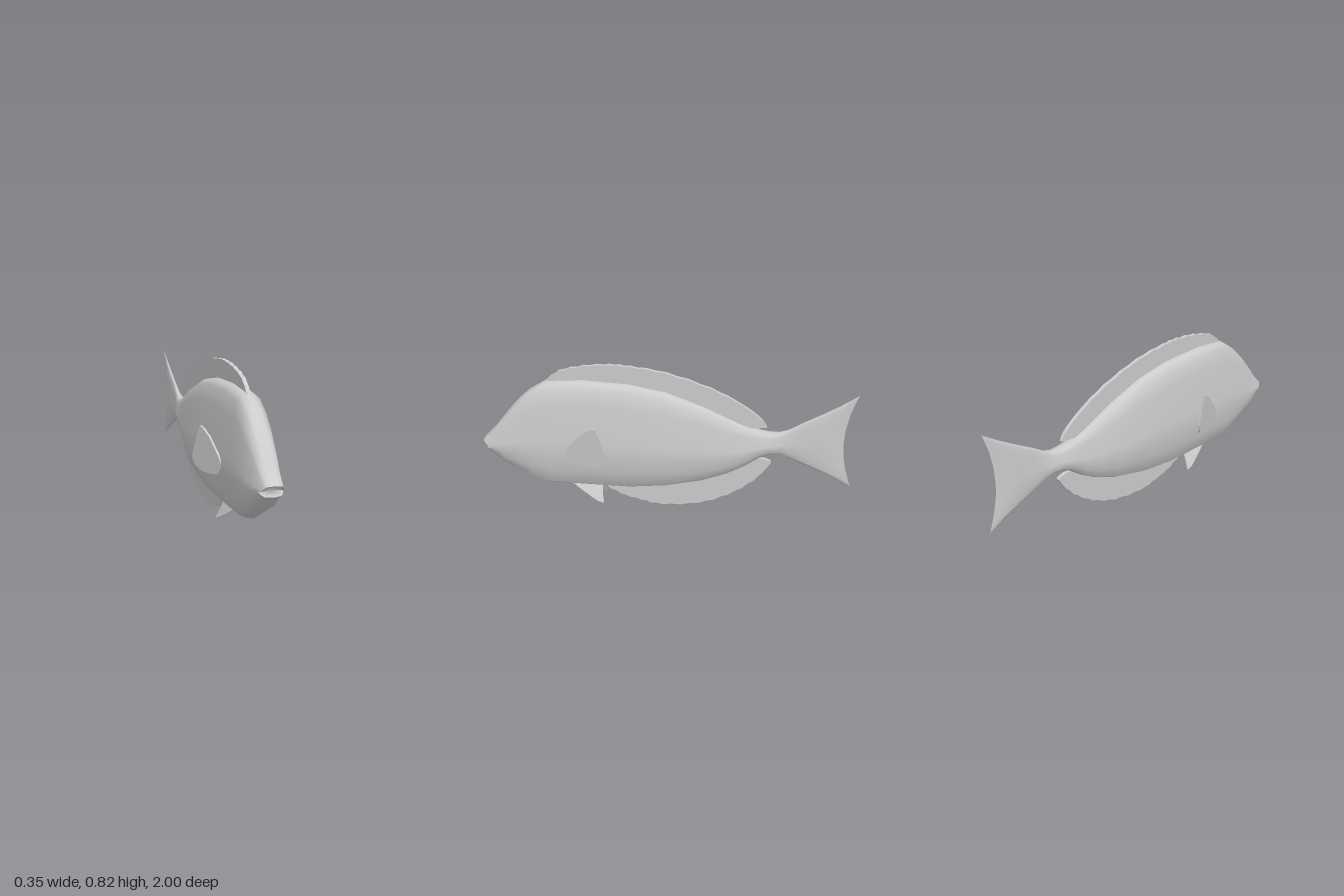
import * as THREE from 'three';

const skin = new THREE.MeshStandardMaterial({ color: 0xcccccc });
skin.name = 'pale grey skin';

// Half cross-section from back ridge to belly: [share of half width, share of height]
const HALF = [[0, 1], [0.32, 0.985], [0.62, 0.945], [0.75, 0.81], [0.86, 0.64], [0.95, 0.48],
  [1, 0.36], [0.85, 0.2], [0.64, 0.06], [0.32, 0.025], [0, 0]];
const RING = [...HALF, ...HALF.slice(1, -1).reverse().map(([x, y]) => [-x, y])];

// Stations from head to tail: [z, top, bottom, half width, swept-back tips]
const STATIONS = [
  [0.93, 0.445, 0.275, 0.067, 0], [0.88, 0.51, 0.23, 0.078, 0], [0.8, 0.605, 0.18, 0.087, 0],
  [0.73, 0.67, 0.14, 0.091, 0], [0.64, 0.725, 0.112, 0.095, 0], [0.45, 0.738, 0.108, 0.1, 0],
  [0.2, 0.725, 0.105, 0.104, 0], [0, 0.687, 0.125, 0.102, 0], [-0.2, 0.612, 0.17, 0.09, 0],
  [-0.33, 0.55, 0.22, 0.074, 0], [-0.42, 0.51, 0.27, 0.062, 0], [-0.5, 0.483, 0.328, 0.053, 0],
  [-0.55, 0.475, 0.347, 0.047, 0], [-0.6, 0.477, 0.348, 0.033, 0], [-0.65, 0.495, 0.335, 0.022, 0],
  [-0.72, 0.54, 0.3, 0.016, 0.005], [-0.8, 0.588, 0.26, 0.018, 0.012],
  [-0.88, 0.645, 0.215, 0.015, 0.03], [-0.94, 0.705, 0.165, 0, 0.06]];

function makeMesh(name, geometry) {
  const mesh = new THREE.Mesh(geometry, skin);
  mesh.name = name;
  return mesh;
}

function indexed(points, index) {
  const g = new THREE.BufferGeometry();
  g.setAttribute('position', new THREE.Float32BufferAttribute(points.flat(), 3));
  g.setIndex(index);
  g.computeVertexNormals();
  return g;
}

// Lip outline: corners of the mouth sit further back than the lips
const LIPS = RING.map(([x, y]) => {
  const up = y > 0.36;
  const t = up ? (y - 0.36) / 0.64 : (0.36 - y) / 0.36;
  return [x * 0.06, up ? 0.337 + 0.035 * t : 0.337 - 0.02 * t, 0.945 + (up ? 0.055 : 0.04) * Math.sqrt(t)];
});

function bodyGeometry() {
  const n = RING.length;
  const points = [...LIPS];
  for (const [z, top, bottom, w, sweep] of STATIONS) {
    for (const [x, y] of RING) {
      points.push([x * w, bottom + (top - bottom) * y, z - sweep * (2 * y - 1) ** 2]);
    }
  }
  const index = [];
  for (let i = 0; i < STATIONS.length; i++) {
    for (let j = 0; j < n; j++) {
      const a = i * n + j, b = i * n + (j + 1) % n;
      index.push(a, b, a + n, b, b + n, a + n);
    }
  }
  return indexed(points, index);
}

// Hollow between the lips
function mouthGeometry() {
  const n = LIPS.length;
  const index = [];
  for (let j = 0; j < n; j++) index.push(n, (j + 1) % n, j);
  return indexed([...LIPS, [0, 0.337, 0.94]], index);
}

// Thin fin from a [z, y] outline; offset(z, y) places it sideways
function finGeometry(outline, thickness, offset = () => 0) {
  const shape = new THREE.Shape(outline.map(([z, y]) => new THREE.Vector2(z, y)));
  const g = new THREE.ExtrudeGeometry(shape, { depth: thickness, bevelEnabled: false });
  g.translate(0, 0, -thickness / 2).rotateY(-Math.PI / 2);
  const p = g.attributes.position;
  for (let i = 0; i < p.count; i++) p.setX(i, p.getX(i) + offset(p.getZ(i), p.getY(i)));
  g.computeVertexNormals();
  return g;
}

// Smooth fin edge with small spiny notches that fade towards the end
function spinyEdge(points, depth, outward) {
  const curve = new THREE.SplineCurve(points.map(([z, y]) => new THREE.Vector2(z, y)));
  const steps = 36;
  return curve.getPoints(steps).map((p, i) => {
    const notch = i % 2 && i < steps * 0.7 ? depth : 0;
    return [p.x, p.y - outward * notch];
  });
}

export function createModel() {
  const fish = new THREE.Group();
  fish.name = 'fish';
  fish.add(makeMesh('bodyAndTail', bodyGeometry()), makeMesh('mouth', mouthGeometry()));

  // Fin along the back
  const dorsal = [
    ...spinyEdge([[0.645, 0.722], [0.567, 0.782], [0.435, 0.815], [0.3, 0.827], [0.19, 0.821], [0, 0.792],
      [-0.235, 0.716], [-0.4, 0.628], [-0.5, 0.555], [-0.535, 0.505]], 0.005, 1),
    [-0.47, 0.498], [-0.4, 0.49], [-0.2, 0.58], [0, 0.655], [0.2, 0.69], [0.45, 0.7], [0.62, 0.69]];
  fish.add(makeMesh('dorsalFin', finGeometry(dorsal, 0.02)));

  // Fin along the belly
  const anal = [
    ...spinyEdge([[0.35, 0.115], [0.25, 0.058], [0.14, 0.025], [0.015, 0.003], [-0.18, 0.024],
      [-0.34, 0.085], [-0.475, 0.18], [-0.555, 0.28], [-0.56, 0.305], [-0.52, 0.32]], 0.007, -1),
    [-0.47, 0.318], [-0.4, 0.31], [-0.2, 0.21], [0, 0.16], [0.2, 0.14], [0.33, 0.14]];
  fish.add(makeMesh('analFin', finGeometry(anal, 0.02)));

  // Paired fins, splayed outwards
  const pectoral = [[0.535, 0.35], [0.5, 0.4], [0.435, 0.475], [0.385, 0.51], [0.36, 0.517], [0.345, 0.48],
    [0.3, 0.36], [0.303, 0.335], [0.32, 0.31], [0.35, 0.296], [0.39, 0.288], [0.45, 0.29], [0.5, 0.3]];
  const pelvic = [[0.53, 0.13], [0.5, 0.11], [0.46, 0.085], [0.4, 0.05], [0.37, 0.035], [0.34, 0.028],
    [0.347, 0.07], [0.35, 0.13]];
  for (const [side, label] of [[1, 'left'], [-1, 'right']]) {
    fish.add(makeMesh(label + 'PectoralFin',
      finGeometry(pectoral, 0.01, (z) => side * (0.09 + (0.535 - z) * 0.35))));
    fish.add(makeMesh(label + 'PelvicFin',
      finGeometry(pelvic, 0.008, (z, y) => side * (0.015 + (0.13 - y) * 0.48))));
  }
  return fish;
}
